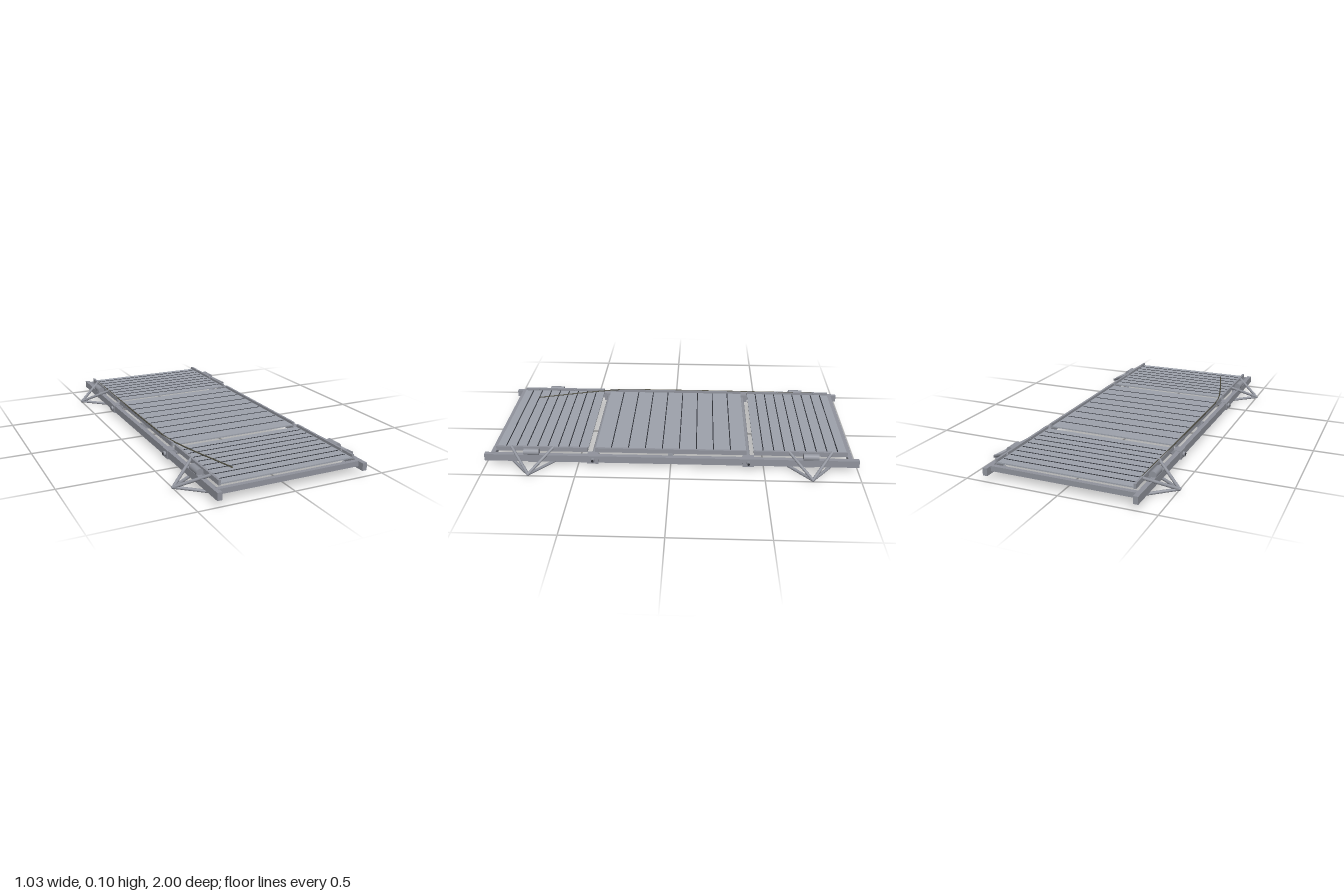
import * as THREE from 'three';

const mat = (name, color, side = THREE.FrontSide) => {
  const m = new THREE.MeshStandardMaterial({ color, side });
  m.name = name;
  return m;
};

export function createModel() {
  const frame = mat('frame grey', 0x90939c);
  const panelGrey = mat('panel grey', 0x9da2ac);
  const dark = mat('groove dark', 0x2e3036);
  const cableMat = mat('cable olive', 0x4c4a3e);
  const model = new THREE.Group();
  model.name = 'foldingPanelFrame';

  const add = (name, geo, material, parent = model) => {
    const m = new THREE.Mesh(geo, material);
    m.name = name;
    parent.add(m);
    return m;
  };
  // Box given by its lower and upper limits on each axis
  const box = (name, [x0, x1], [y0, y1], [z0, z1], material = frame, parent = model) => {
    const m = add(name, new THREE.BoxGeometry(Math.abs(x1 - x0), y1 - y0, Math.abs(z1 - z0)), material, parent);
    m.position.set((x0 + x1) / 2, (y0 + y1) / 2, (z0 + z1) / 2);
    return m;
  };
  // Round tube between two points
  const tube = (name, a, b, r, material = frame, parent = model) => {
    const p = new THREE.Vector3(...a), q = new THREE.Vector3(...b);
    const d = q.clone().sub(p);
    const m = add(name, new THREE.CylinderGeometry(r, r, d.length(), 16), material, parent);
    m.position.copy(p).add(q).multiplyScalar(0.5);
    m.quaternion.setFromUnitVectors(new THREE.Vector3(0, 1, 0), d.normalize());
    return m;
  };

  // Three slatted panels, each with raised edge strips
  const panels = [
    { name: 'backPanel', z0: -0.94, z1: -0.445, first: -0.893, step: 0.0567, count: 8 },
    { name: 'middlePanel', z0: -0.405, z1: 0.405, first: -0.321, step: 0.0917, count: 8 },
    { name: 'frontPanel', z0: 0.445, z1: 0.94, first: 0.496, step: 0.0567, count: 8 },
  ];
  for (const p of panels) {
    const g = new THREE.Group();
    g.name = p.name;
    model.add(g);
    box('panelSheet', [-0.36, 0.36], [0.08, 0.087], [p.z0, p.z1], panelGrey, g);
    for (let i = 0; i < p.count; i++) {
      const z = p.first + i * p.step;
      box('panelGroove', [-0.355, 0.35], [0.087, 0.0885], [z - 0.0025, z + 0.0025], dark, g);
    }
    for (const s of [-1, 1]) {
      box('panelEdge', [s * 0.357, s * 0.369], [0.076, 0.101], [p.z0, p.z1], frame, g);
    }
  }

  // Side rails with pivots and spacers
  for (const s of [-1, 1]) {
    box('sideRail', [s * 0.38, s * 0.405], [0.033, 0.072], [-1, 1]);
    for (const z of [-0.415, 0.415]) {
      tube('pivotCap', [s * 0.4, 0.05, z], [s * 0.42, 0.05, z], 0.013);
      tube('pivotPin', [s * 0.42, 0.05, z], [s * 0.423, 0.05, z], 0.007, dark);
      box('pivotBracket', [s * 0.36, s * 0.409], [0.028, 0.074], [z - 0.03, z + 0.03]);
    }
    box('railStud', [s * 0.363, s * 0.382], [0.045, 0.078], [-0.01, 0.01]);
  }

  // Cross members
  for (const z of [-0.955, 0.955]) box('endBar', [-0.385, 0.385], [0.046, 0.073], [z - 0.012, z + 0.012]);
  for (const z of [-0.415, 0.415]) tube('pivotBar', [-0.4, 0.05, z], [0.4, 0.05, z], 0.012);
  box('middleBar', [-0.38, 0.38], [0.046, 0.073], [-0.013, 0.013]);

  // Triangular outrigger feet at the four corners
  for (const s of [-1, 1]) {
    for (const zc of [-0.745, 0.745]) {
      const g = new THREE.Group();
      g.name = 'outrigger';
      model.add(g);
      const tip = [s * 0.507, 0.016, zc];
      for (const dz of [-0.115, 0.115]) {
        tube('upperStrut', [s * 0.358, 0.098, zc + dz], tip, 0.008, frame, g);
        tube('lowerStrut', [s * 0.355, 0.009, zc + dz], tip, 0.008, frame, g);
      }
      const ball = add('strutTip', new THREE.SphereGeometry(0.009, 12, 8), frame, g);
      ball.position.set(...tip);
      tube('pivotDrum', [s * 0.388, 0.083, zc - 0.041], [s * 0.388, 0.083, zc + 0.041], 0.019, frame, g);
      box('mountBlock', [s * 0.35, s * 0.385], [0.017, 0.075], [zc - 0.025, zc + 0.025], frame, g);
    }
  }

  // Loose cable running along one edge and across the front panel
  const path = new THREE.CurvePath();
  const pts = [[-0.36, 0.098, -0.86], [-0.365, 0.1, -0.4], [-0.367, 0.1, 0.1],
    [-0.362, 0.1, 0.34], [-0.33, 0.099, 0.5], [-0.238, 0.098, 0.83]];
  const curve = new THREE.CatmullRomCurve3(pts.map((p) => new THREE.Vector3(...p)));
  add('cable', new THREE.TubeGeometry(curve, 48, 0.0035, 8), cableMat);

  return model;
}
